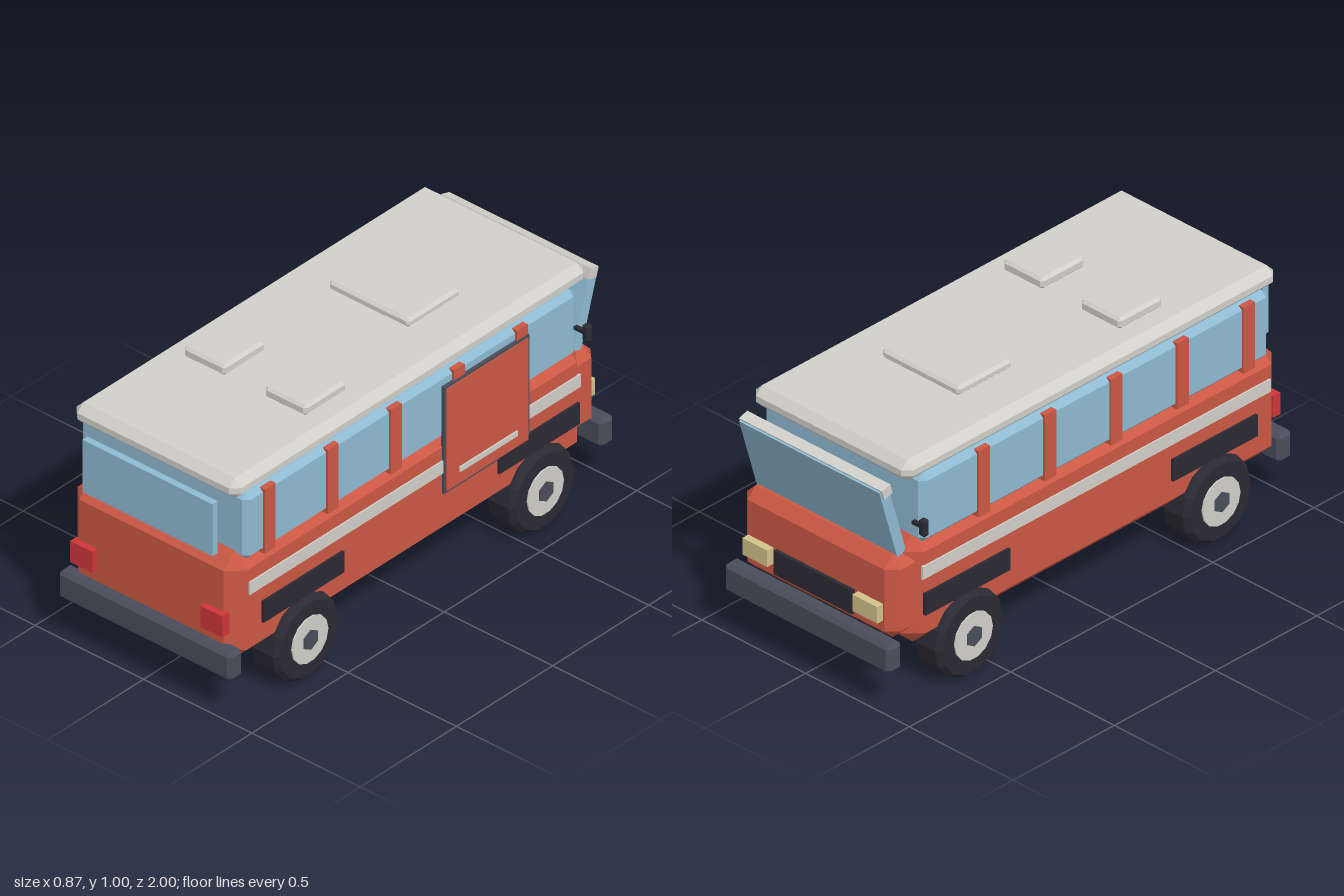
import * as THREE from 'three';
import { ConvexGeometry } from 'three/addons/geometries/ConvexGeometry.js';

const paint = (name, color) => {
  const m = new THREE.MeshStandardMaterial({ color });
  m.name = name;
  return m;
};

// Box with every edge cut at 45 degrees, from min/max extents.
function chamferBox(x0, x1, y0, y1, z0, z1, c) {
  const mid = [(x0 + x1) / 2, (y0 + y1) / 2, (z0 + z1) / 2];
  const half = [(x1 - x0) / 2, (y1 - y0) / 2, (z1 - z0) / 2];
  const points = [];
  for (const sx of [-1, 1]) for (const sy of [-1, 1]) for (const sz of [-1, 1]) {
    const s = [sx, sy, sz];
    for (let face = 0; face < 3; face++) {
      const p = s.map((sign, i) => mid[i] + sign * (half[i] - (i === face ? 0 : c)));
      points.push(new THREE.Vector3(...p));
    }
  }
  return new ConvexGeometry(points);
}

function plainBox(x0, x1, y0, y1, z0, z1) {
  return new THREE.BoxGeometry(x1 - x0, y1 - y0, z1 - z0)
    .translate((x0 + x1) / 2, (y0 + y1) / 2, (z0 + z1) / 2);
}

export function createModel() {
  const red = paint('body red', 0xcc5844);
  const cream = paint('roof cream', 0xd2d0ca);
  const blue = paint('glass blue', 0x8fbbd3);
  const slate = paint('bumper slate', 0x4a4e5a);
  const black = paint('rubber black', 0x2b2a33);
  const lamp = paint('headlight yellow', 0xd2c28a);
  const tail = paint('tail light red', 0xcf3538);

  const model = new THREE.Group();
  model.name = 'van';
  const add = (name, geometry, material, parent = model) => {
    const mesh = new THREE.Mesh(geometry, material);
    mesh.name = name;
    parent.add(mesh);
    return mesh;
  };
  const chamfered = (name, mat, ...e) => add(name, chamferBox(...e), mat);
  const box = (name, mat, ...e) => add(name, plainBox(...e), mat);
  // Box given for the +x side, placed there or mirrored to -x.
  const sideBox = (name, mat, s, x0, x1, ...rest) =>
    box(name, mat, Math.min(s * x0, s * x1), Math.max(s * x0, s * x1), ...rest);

  // Main shell
  chamfered('lowerBody', red, -0.39, 0.39, 0.195, 0.64, -0.87, 0.96, 0.057);
  chamfered('nose', red, -0.37, 0.37, 0.255, 0.585, -0.95, -0.8, 0.04);
  chamfered('cabinGlass', blue, -0.387, 0.387, 0.61, 0.885, -0.82, 0.9, 0.022);
  chamfered('roof', cream, -0.38, 0.38, 0.875, 0.96, -0.887, 0.95, 0.03);
  box('tailWindow', blue, -0.3, 0.3, 0.64, 0.857, 0.953, 0.98);

  // Roof hatches
  chamfered('largeHatch', cream, -0.186, 0.186, 0.955, 0.993, -0.437, -0.167, 0.011);
  for (const s of [-1, 1])
    chamfered('smallHatch', cream, s * 0.187 - 0.096, s * 0.187 + 0.096, 0.957, 1.002, 0.262, 0.478, 0.011);

  // Outward-leaning windscreen with a rail along its top
  const windscreen = new THREE.Group();
  windscreen.name = 'windscreen';
  windscreen.position.set(0, 0.73, -0.917);
  windscreen.rotation.x = -0.29;
  model.add(windscreen);
  add('windscreenGlass', plainBox(-0.338, 0.338, -0.157, 0.157, -0.022, 0.022), blue, windscreen);
  add('windscreenRail', plainBox(-0.345, 0.345, 0.12, 0.162, -0.014, 0.029), cream, windscreen);

  // Bumpers
  chamfered('tailBumper', slate, -0.4, 0.4, 0.165, 0.28, 0.93, 1, 0.015);
  chamfered('noseBumper', slate, -0.4, 0.4, 0.165, 0.28, -1, -0.93, 0.015);

  // Grille and lamps
  box('grille', black, -0.19, 0.19, 0.31, 0.405, -0.965, -0.94);
  for (const s of [-1, 1]) {
    sideBox('headlight', lamp, s, 0.205, 0.325, 0.338, 0.405, -0.98, -0.93);
    sideBox('tailLight', tail, s, 0.25, 0.352, 0.327, 0.415, 0.95, 0.985);
  }

  // Wheel: turned tyre, hub disc and hexagonal cap on both faces
  const wheelRadius = 0.168;
  const tyre = new THREE.LatheGeometry([
    [0, -0.067], [0.15, -0.067], [wheelRadius, -0.047],
    [wheelRadius, 0.047], [0.15, 0.067], [0, 0.067],
  ].map(([r, y]) => new THREE.Vector2(r, y)), 14).toNonIndexed();
  tyre.computeVertexNormals();
  const hub = new THREE.CylinderGeometry(0.094, 0.094, 0.146, 14).toNonIndexed();
  hub.computeVertexNormals();
  const cap = new THREE.CylinderGeometry(0.041, 0.041, 0.153, 6).toNonIndexed();
  cap.computeVertexNormals();
  cap.rotateY(Math.PI / 6);

  for (const s of [-1, 1]) {
    for (const z of [0.616, -0.608]) {
      const wheel = new THREE.Group();
      wheel.name = 'wheel';
      wheel.position.set(s * 0.356, wheelRadius, z);
      wheel.rotation.z = Math.PI / 2;
      add('tyre', tyre, black, wheel);
      add('hub', hub, cream, wheel);
      add('hubCap', cap, slate, wheel);
      model.add(wheel);
      // Arch plate above each wheel
      sideBox('archPlate', black, s, 0.37, 0.4, 0.33, 0.418, z - 0.209, z + 0.209);
    }

    // Window pillars
    for (let i = 0; i < 5; i++) {
      const z = 0.787 - i * 0.3275;
      sideBox('windowPillar', red, s, 0.365, 0.396, 0.61, 0.878, z - 0.028, z + 0.028);
    }

    sideBox('sideStripe', cream, s, 0.387, 0.396, 0.478, 0.53, -0.827, 0.893);

    // Door mirror and its arm
    const c = s * 0.414;
    chamfered('mirror', black, c - 0.016, c + 0.016, 0.672, 0.74, -0.855, -0.825, 0.008);
    sideBox('mirrorArm', black, s, 0.36, 0.405, 0.698, 0.712, -0.845, -0.83);
  }

  // Sliding door on the left side only
  box('doorFrame', slate, 0.385, 0.4, 0.393, 0.836, -0.556, -0.112);
  box('doorPanel', red, 0.39, 0.404, 0.403, 0.826, -0.546, -0.122);
  box('doorHandle', cream, 0.4, 0.41, 0.452, 0.473, -0.485, -0.185);

  return model;
}
